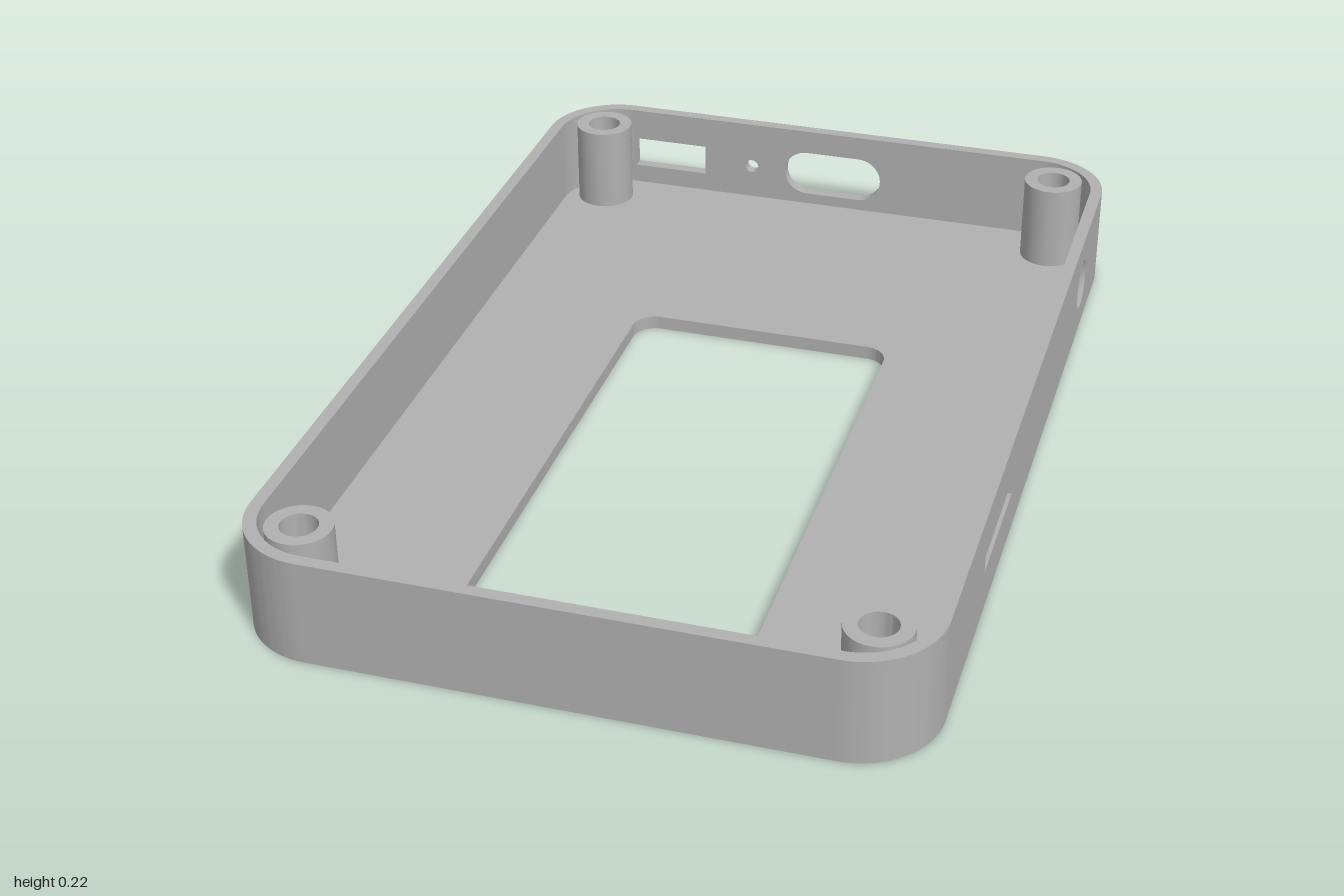
import * as THREE from 'three';
import { toCreasedNormals } from 'three/addons/utils/BufferGeometryUtils.js';

const X = 0.66, Z = 1, H = 0.22;      // outer half sizes and height
const R = 0.16, T = 0.026;            // corner radius, wall thickness
const FLOOR = 0.03, GROOVE = 0.012;   // floor thickness, vent depth
const MID = 0.11;                     // height of the port centres

// Closed rounded rectangle; r = 0 gives square corners
function rounded(P, x0, x1, y0, y1, r) {
  const p = new P();
  if (r === 0) {
    p.moveTo(x0, y0).lineTo(x1, y0).lineTo(x1, y1).lineTo(x0, y1).closePath();
    return p;
  }
  p.absarc(x1 - r, y0 + r, r, -Math.PI / 2, 0);
  p.absarc(x1 - r, y1 - r, r, 0, Math.PI / 2);
  p.absarc(x0 + r, y1 - r, r, Math.PI / 2, Math.PI);
  p.absarc(x0 + r, y0 + r, r, Math.PI, Math.PI * 1.5);
  p.closePath();
  return p;
}

function circle(P, x, y, r) {
  const p = new P();
  p.absarc(x, y, r, 0, Math.PI * 2);
  return p;
}

function extrude(shape, depth) {
  const g = new THREE.ExtrudeGeometry(shape, { depth, bevelEnabled: false, curveSegments: 16 });
  return toCreasedNormals(g, 0.5);
}

// Extrude a plan outline (x, -z) upwards from height y
function slab(shape, y, height) {
  return extrude(shape, height).rotateX(-Math.PI / 2).translate(0, y, 0);
}

export function createModel() {
  const group = new THREE.Group();
  group.name = 'openCase';
  const grey = new THREE.MeshStandardMaterial({ color: 0xb0b0b0 });
  grey.name = 'caseGrey';
  const add = (name, geometry) => {
    const mesh = new THREE.Mesh(geometry, grey);
    mesh.name = name;
    group.add(mesh);
    return mesh;
  };

  // Floor with a display window; its lower layer carries the vent grooves
  const floorShape = () => {
    const s = rounded(THREE.Shape, -X + T, X - T, -Z + T, Z - T, R - T);
    s.holes.push(rounded(THREE.Path, -0.285, 0.285, -0.795, 0.345, 0.05));
    return s;
  };
  const lower = floorShape();
  for (let i = 0; i < 4; i++) {
    const v = 0.6 + i * 0.08;
    lower.holes.push(rounded(THREE.Path, -0.34, 0.34, v - 0.012, v + 0.012, 0));
  }
  add('ventedFloor', slab(lower, 0, GROOVE));
  add('floor', slab(floorShape(), GROOVE, FLOOR - GROOVE));

  // Plain front and right walls
  const endWall = () => rounded(THREE.Shape, -X + R, X - R, 0, H, 0);
  const sideWall = () => rounded(THREE.Shape, -Z + R, Z - R, 0, H, 0);
  add('frontWall', extrude(endWall(), T).translate(0, 0, Z - T));
  add('rightWall', extrude(sideWall(), T).rotateY(Math.PI / 2).translate(-X, 0, 0));

  // Back wall with a pill port, a pin hole and a rectangular port
  const back = endWall();
  back.holes.push(
    rounded(THREE.Path, -0.117, 0.117, MID - 0.054, MID + 0.054, 0.0539),
    circle(THREE.Path, -0.2, MID, 0.016),
    rounded(THREE.Path, -0.493, -0.317, MID - 0.036, MID + 0.036, 0));
  add('backWall', extrude(back, T).translate(0, 0, -Z));

  // Left wall: solid inner skin, outer skin with a blind slot and a round dimple
  const skin = 0.006, dimpleZ = -0.61, dimpleR = 0.055, dimpleDepth = 0.0195;
  const outer = sideWall();
  outer.holes.push(
    rounded(THREE.Path, -0.505, -0.23, 0.092, 0.128, 0),
    circle(THREE.Path, -dimpleZ, MID, dimpleR));
  add('leftWallInner', extrude(sideWall(), skin).rotateY(Math.PI / 2).translate(X - T, 0, 0));
  add('leftWallOuter', extrude(outer, T - skin).rotateY(Math.PI / 2).translate(X - T + skin, 0, 0));

  // Concave button dimple
  const ballR = (dimpleR ** 2 + dimpleDepth ** 2) / (2 * dimpleDepth);
  const reach = Math.asin(dimpleR / ballR);
  const bowl = [];
  for (let i = 0; i <= 8; i++) {
    const a = reach * (1 - i / 8);
    bowl.push(new THREE.Vector2(ballR * Math.sin(a), ballR - dimpleDepth - ballR * Math.cos(a)));
  }
  add('buttonDimple', new THREE.LatheGeometry(bowl, 32)
    .rotateZ(-Math.PI / 2).translate(X, MID, dimpleZ));

  // Rounded corners and screw bosses
  for (const sx of [-1, 1]) {
    for (const sz of [-1, 1]) {
      const cx = sx * (X - R), cy = -sz * (Z - R);
      const mid = Math.atan2(-sz, sx), a0 = mid - Math.PI / 4, a1 = mid + Math.PI / 4;
      const corner = new THREE.Shape();
      corner.absarc(cx, cy, R, a0, a1, false);
      corner.absarc(cx, cy, R - T, a1, a0, true);
      corner.closePath();
      add('cornerWall', slab(corner, 0, H));

      const boss = circle(THREE.Shape, sx * 0.543, -sz * 0.884, 0.065);
      boss.holes.push(circle(THREE.Path, sx * 0.543, -sz * 0.884, 0.037));
      add('screwBoss', slab(boss, FLOOR, H - FLOOR));
    }
  }
  return group;
}
